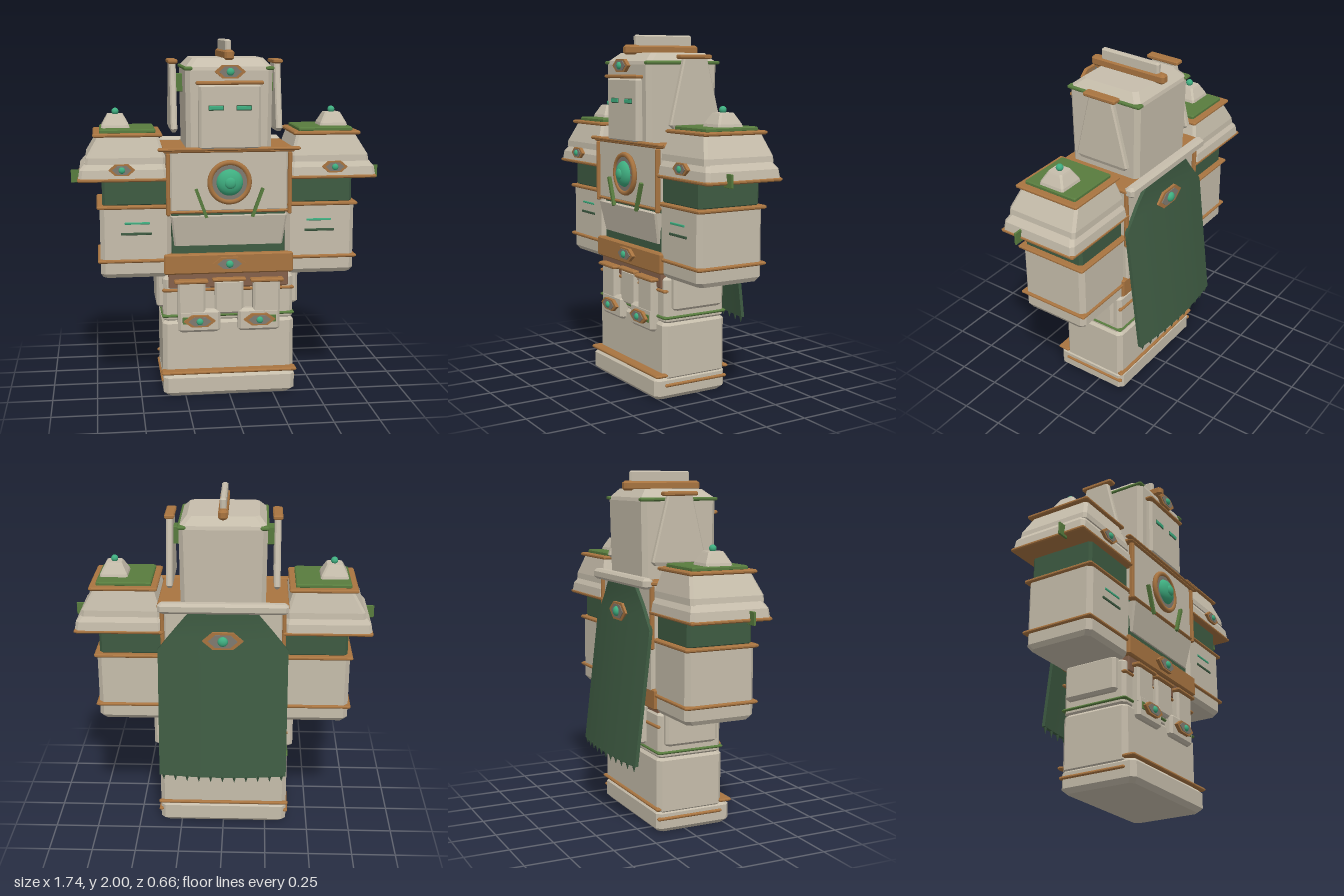
import * as THREE from 'three';

const mat = (name, color, side = THREE.FrontSide) =>
  Object.assign(new THREE.MeshStandardMaterial({ color, side }), { name });

export function createModel() {
  const stone = mat('stone', 0xc6bdab);
  const bronze = mat('bronze', 0xa87440);
  const moss = mat('moss green', 0x587c3e);
  const cloth = mat('dark green', 0x3e5b42, THREE.DoubleSide);
  const jade = mat('jade', 0x3fae80);
  const slate = mat('slate', 0x7f7a70);
  const brown = mat('brown', 0x84604a);
  const model = new THREE.Group();

  const add = (name, geo, material, parent = model) => {
    const m = new THREE.Mesh(geo, material);
    m.name = name;
    parent.add(m);
    return m;
  };

  // Stacks cut-corner rectangles [y, x0, x1, z0, z1] into a flat-shaded solid
  function loft(sections, cut) {
    const pos = [], idx = [];
    for (const [y, x0, x1, z0, z1] of sections) {
      const c = Math.min(cut, (x1 - x0) / 3, (z1 - z0) / 3);
      [[x0 + c, z1], [x1 - c, z1], [x1, z1 - c], [x1, z0 + c],
        [x1 - c, z0], [x0 + c, z0], [x0, z0 + c], [x0, z1 - c]]
        .forEach(([x, z]) => pos.push(x, y, z));
    }
    const last = (sections.length - 1) * 8;
    for (let s = 0; s < last; s += 8)
      for (let i = 0; i < 8; i++) {
        const j = (i + 1) % 8;
        idx.push(s + i, s + j, s + 8 + j, s + i, s + 8 + j, s + 8 + i);
      }
    for (let i = 1; i < 7; i++) idx.push(0, i + 1, i, last, last + i, last + i + 1);
    const g = new THREE.BufferGeometry();
    g.setAttribute('position', new THREE.Float32BufferAttribute(pos, 3));
    g.setIndex(idx);
    const flat = g.toNonIndexed();
    flat.computeVertexNormals();
    return flat;
  }

  // Box given by its limits, with chamfered edges
  function block(name, material, x0, x1, y0, y1, z0, z1, b = 0.006, parent = model) {
    return add(name, loft([
      [y0, x0 + b, x1 - b, z0 + b, z1 - b], [y0 + b, x0, x1, z0, z1],
      [y1 - b, x0, x1, z0, z1], [y1, x0 + b, x1 - b, z0 + b, z1 - b]], b), material, parent);
  }

  function hexPlate(w, h, depth) {
    const s = new THREE.Shape([[w, 0], [w * 0.5, h], [-w * 0.5, h], [-w, 0], [-w * 0.5, -h], [w * 0.5, -h]]
      .map(p => new THREE.Vector2(...p)));
    return new THREE.ExtrudeGeometry(s, { depth, bevelEnabled: false });
  }

  // Hexagonal badge with a jade stud
  function badge(name, x, y, z, w, h, parent = model) {
    const g = new THREE.Group();
    g.name = name;
    g.position.set(x, y, z);
    parent.add(g);
    add('badgeFrame', hexPlate(w, h, 0.02), bronze, g);
    add('badgeInlay', hexPlate(w * 0.72, h * 0.76, 0.024), slate, g);
    const stud = add('badgeStud', new THREE.SphereGeometry(h * 0.58, 20, 12), jade, g);
    stud.position.z = 0.024;
    stud.scale.z = 0.7;
    return g;
  }

  // Base and legs
  block('foot', stone, -0.375, 0.375, 0, 0.135, -0.18, 0.28, 0.025);
  block('legs', stone, -0.375, 0.375, 0.1, 0.44, -0.175, 0.23, 0.025);
  block('footFrontTrim', bronze, -0.385, 0.385, 0.13, 0.148, 0.21, 0.285);
  block('footBackTrim', bronze, -0.385, 0.385, 0.13, 0.148, -0.19, -0.16);

  // Hips
  block('hips', stone, -0.37, 0.37, 0.42, 0.69, -0.17, 0.22, 0.02);
  block('hipBand', moss, -0.378, 0.378, 0.452, 0.468, -0.178, 0.23);
  block('hipFrontTrim', bronze, -0.375, 0.375, 0.6, 0.618, 0.2, 0.23);
  block('hipBackTrim', bronze, -0.375, 0.375, 0.6, 0.618, -0.18, -0.16);
  block('waist', brown, -0.34, 0.34, 0.62, 0.74, -0.16, 0.228);
  block('centreTasset', stone, -0.082, 0.082, 0.47, 0.665, 0.21, 0.25, 0.012);
  block('centreTassetTrim', bronze, -0.095, 0.095, 0.66, 0.68, 0.21, 0.262);
  block('backTasset', stone, -0.22, 0.22, 0.48, 0.71, -0.22, -0.16, 0.015);

  // Belt
  block('belt', bronze, -0.365, 0.365, 0.705, 0.82, -0.195, 0.25, 0.008);
  badge('beltBadge', 0, 0.765, 0.25, 0.095, 0.036);

  // Torso
  block('torso', stone, -0.33, 0.33, 0.8, 1.4, -0.195, 0.19, 0.01);
  block('abdomenLining', cloth, -0.32, 0.32, 0.81, 1.06, 0.1, 0.215);
  add('abdomen', loft([[0.865, -0.305, 0.305, 0, 0.225], [1.035, -0.325, 0.325, 0, 0.258]], 0.01), stone);
  block('chest', stone, -0.328, 0.328, 1.06, 1.4, 0, 0.25, 0.01);
  block('chestLowerTrim', bronze, -0.335, 0.335, 1.052, 1.068, 0.1, 0.258);
  block('collar', bronze, -0.365, 0.365, 1.39, 1.412, -0.215, 0.265);
  block('collarFrontTrim', bronze, -0.395, 0.395, 1.4, 1.418, 0.24, 0.275);
  block('capeBar', stone, -0.36, 0.36, 1.37, 1.43, -0.255, -0.195, 0.015);

  // Chest jewel
  const jewel = new THREE.Group();
  jewel.name = 'chestJewel';
  jewel.position.set(0, 1.225, 0.25);
  model.add(jewel);
  const disc = (name, r, d, m) => {
    const o = add(name, new THREE.CylinderGeometry(r, r, d, 40), m, jewel);
    o.rotation.x = Math.PI / 2;
    o.position.z = d / 2;
  };
  disc('jewelBack', 0.105, 0.018, slate);
  add('jewelRing', new THREE.TorusGeometry(0.109, 0.015, 8, 40), bronze, jewel).position.z = 0.012;
  const dome = add('jewelDome', new THREE.SphereGeometry(0.075, 28, 16), jade, jewel);
  dome.scale.z = 0.6;
  dome.position.z = 0.01;
  const tip = add('jewelTip', new THREE.SphereGeometry(0.032, 20, 12), jade, jewel);
  tip.position.z = 0.048;
  tip.scale.z = 0.5;

  // Head
  add('head', loft([[1.4, -0.235, 0.235, -0.195, 0.245], [1.835, -0.24, 0.24, -0.205, 0.25],
    [1.855, -0.235, 0.235, -0.2, 0.245], [1.9, -0.195, 0.195, -0.16, 0.19]], 0.025), stone);
  block('face', stone, -0.172, 0.172, 1.405, 1.765, 0.2, 0.28, 0.015);
  block('brow', bronze, -0.185, 0.185, 1.76, 1.78, 0.22, 0.29);
  badge('headBadge', 0, 1.83, 0.27, 0.085, 0.036);
  block('crestBase', bronze, -0.026, 0.026, 1.89, 1.945, -0.215, 0.26, 0.012);
  block('crest', stone, -0.017, 0.017, 1.92, 2, -0.175, 0.195, 0.008);

  // Cape: a bowed sheet leaning back, with cut shoulders
  const capeWidth = y => 0.365 - 0.2 * Math.max(0, (y - 1.15) / 0.25);
  const capeZ = (x, y) => -0.2 - Math.max(0, 1.28 - y) * 0.118 - 0.028 * (1 - (x / 0.365) ** 2);
  const cape = new THREE.BoxGeometry(2, 1, 0.02, 12, 16, 1);
  const cp = cape.attributes.position;
  for (let i = 0; i < cp.count; i++) {
    const y = 0.4 + (cp.getY(i) + 0.5) * 1.0;
    const x = cp.getX(i) * capeWidth(y);
    cp.setXYZ(i, x, y, capeZ(x, y) + cp.getZ(i));
  }
  cape.computeVertexNormals();
  add('cape', cape, cloth);
  for (let i = 0; i < 11; i++) {
    const x = -0.34 + i * 0.068;
    const t = add('capeFringe', new THREE.ConeGeometry(0.013, 0.045, 6), cloth);
    t.rotation.x = Math.PI;
    t.position.set(x, 0.385, capeZ(x, 0.4));
  }
  badge('capeBadge', 0, 1.215, -0.235, 0.115, 0.05).rotation.y = Math.PI;

  // Paired parts, built for each side
  for (const s of [1, -1]) {
    const side = new THREE.Group();
    side.name = s > 0 ? 'leftSide' : 'rightSide';
    model.add(side);
    const sx = (x0, x1) => s > 0 ? [x0, x1] : [-x1, -x0];
    const b = (name, m, x0, x1, y0, y1, z0, z1, c) =>
      block(name, m, ...sx(x0, x1), y0, y1, z0, z1, c, side);
    const l = (name, m, rows, cut) =>
      add(name, loft(rows.map(([y, x0, x1, z0, z1]) => [y, ...sx(x0, x1), z0, z1]), cut), m, side);

    // Leg and hip details
    b('footSideTrim', bronze, 0.36, 0.385, 0.073, 0.091, -0.18, 0.225);
    b('hipPad', stone, 0.3, 0.405, 0.5, 0.7, -0.14, 0.18, 0.015);
    b('tasset', stone, 0.05, 0.29, 0.37, 0.5, 0.2, 0.262, 0.015);
    b('tassetUpper', stone, 0.135, 0.29, 0.45, 0.665, 0.2, 0.26, 0.012);
    b('tassetTrim', bronze, 0.12, 0.31, 0.655, 0.675, 0.2, 0.275);
    b('tassetTab', moss, 0.2, 0.265, 0.42, 0.462, 0.255, 0.266, 0.002);
    badge('tassetBadge', s * 0.17, 0.44, 0.262, 0.09, 0.033, side);

    // Chest side rods and slanted bars
    b('chestRod', bronze, 0.328, 0.35, 1.04, 1.39, 0.235, 0.262);
    b('backRod', bronze, 0.328, 0.35, 1.04, 1.39, -0.21, -0.185);
    const bar = add('chestBar', new THREE.BoxGeometry(0.017, 0.17, 0.02), moss, side);
    bar.position.set(s * 0.157, 1.11, 0.262);
    bar.rotation.z = -s * 0.35;

    // Arm
    l('forearm', stone, [[0.69, 0.345, 0.7, -0.16, 0.21], [0.715, 0.325, 0.715, -0.18, 0.23],
      [1.09, 0.32, 0.715, -0.18, 0.23]], 0.025);
    b('wristTrim', bronze, 0.31, 0.73, 0.778, 0.797, -0.192, 0.243);
    b('elbowTrim', bronze, 0.305, 0.73, 1.08, 1.1, -0.192, 0.243);
    b('upperArm', cloth, 0.33, 0.7, 1.09, 1.25, -0.165, 0.218, 0.015);
    b('jadeSlit', jade, 0.44, 0.58, 0.994, 1.006, 0.226, 0.235, 0.002);
    b('greenSlit', cloth, 0.43, 0.6, 0.934, 0.948, 0.226, 0.235, 0.002);

    // Shoulder
    b('shoulderTrim', bronze, 0.33, 0.832, 1.235, 1.255, -0.215, 0.26);
    l('shoulderRim', stone, [[1.25, 0.34, 0.828, -0.212, 0.256], [1.3, 0.345, 0.82, -0.206, 0.25],
      [1.335, 0.355, 0.79, -0.185, 0.228]], 0.018);
    l('shoulder', stone, [[1.33, 0.35, 0.79, -0.195, 0.24], [1.365, 0.35, 0.785, -0.193, 0.238],
      [1.475, 0.385, 0.72, -0.165, 0.2]], 0.015);
    b('shoulderPlate', bronze, 0.365, 0.745, 1.475, 1.495, -0.18, 0.218);
    b('shoulderInlay', moss, 0.4, 0.708, 1.49, 1.515, -0.145, 0.182);
    l('pedestal', stone, [[1.51, 0.538, 0.698, -0.06, 0.1], [1.53, 0.543, 0.693, -0.055, 0.095],
      [1.58, 0.57, 0.666, -0.028, 0.068], [1.588, 0.575, 0.661, -0.023, 0.063]], 0.01);
    add('shoulderOrb', new THREE.SphereGeometry(0.02, 18, 12), jade, side).position.set(s * 0.617, 1.602, 0.02);
    badge('shoulderBadge', s * 0.59, 1.302, 0.248, 0.072, 0.031, side);
    b('shoulderTab', moss, 0.8, 0.868, 1.22, 1.292, 0.125, 0.137, 0.002);

    // Head side details
    b('headBand', moss, 0.2, 0.247, 1.836, 1.856, -0.215, 0.255);
    l('earFin', stone, [[1.49, 0.285, 0.305, -0.16, 0.13], [1.51, 0.277, 0.313, -0.18, 0.15],
      [1.88, 0.277, 0.313, -0.085, 0.06]], 0.008);
    b('earFinCap', bronze, 0.268, 0.322, 1.866, 1.89, -0.112, 0.092);
    b('earLink', moss, 0.23, 0.285, 1.71, 1.81, -0.05, 0.03, 0.003);
    b('eye', jade, 0.038, 0.115, 1.625, 1.646, 0.277, 0.286, 0.002);
    b('eyeRim', cloth, 0.034, 0.119, 1.621, 1.65, 0.275, 0.282, 0.002);
  }
  return model;
}
